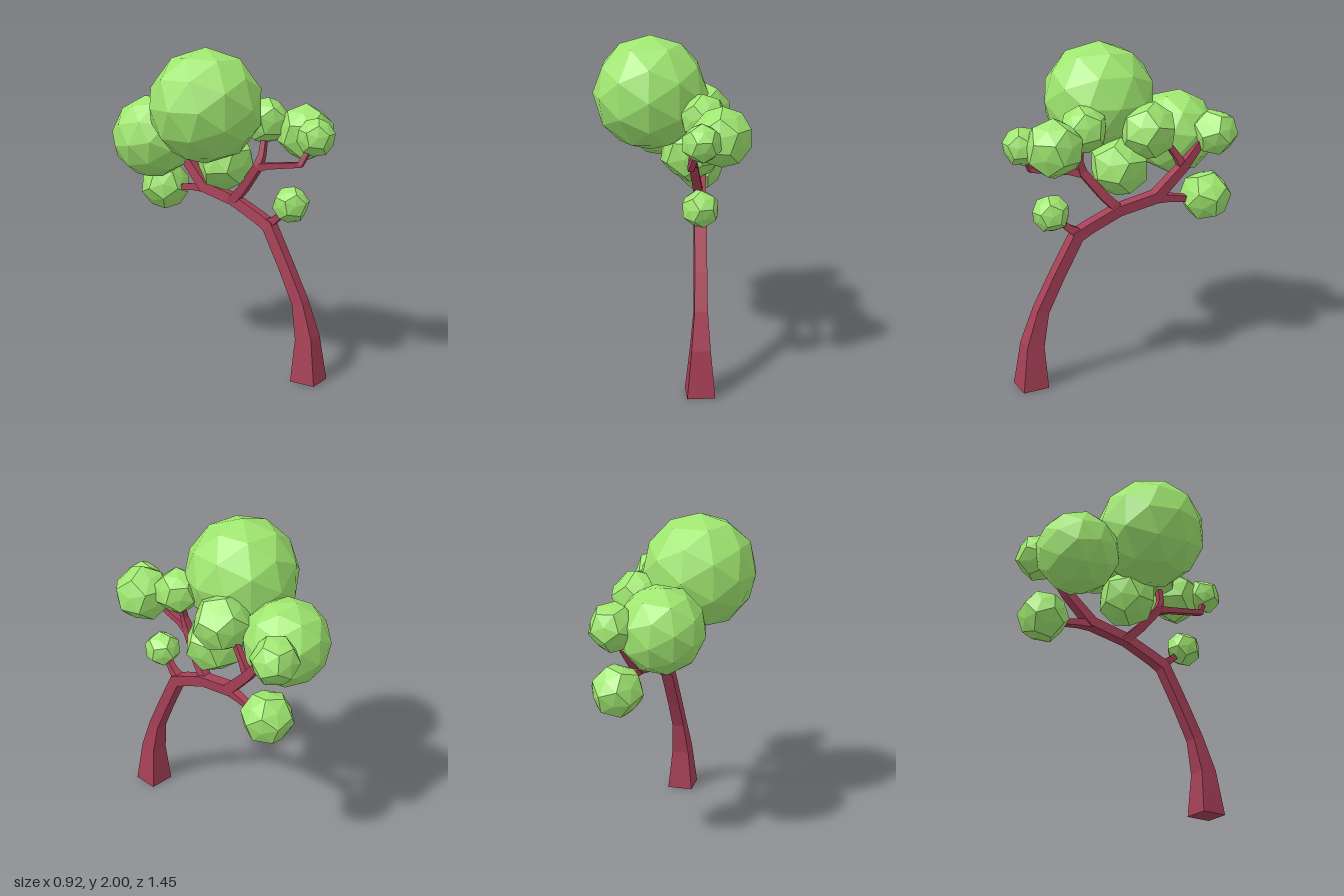
import * as THREE from 'three';
import { ConvexGeometry } from 'three/addons/geometries/ConvexGeometry.js';

const bark = new THREE.MeshStandardMaterial({ color: 0xa64056, flatShading: true });
const leaf = new THREE.MeshStandardMaterial({ color: 0x9fe670, flatShading: true });

// Four-sided limb swept along nodes [x, y, z, half width]
function limb(name, nodes) {
  const pts = nodes.map(n => new THREE.Vector3(n[0], n[1], n[2]));
  const pos = [], index = [];
  pts.forEach((p, i) => {
    const t = new THREE.Vector3();
    if (i > 0) t.add(p.clone().sub(pts[i - 1]).normalize());
    if (i < pts.length - 1) t.add(pts[i + 1].clone().sub(p).normalize());
    t.normalize();
    const u = new THREE.Vector3(1, 0, 0).addScaledVector(t, -t.x).normalize();
    const v = t.clone().cross(u);
    for (let k = 0; k < 4; k++) {
      const a = Math.PI / 4 + k * Math.PI / 2 + 0.08;
      const r = nodes[i][3] * Math.SQRT2;
      const q = p.clone().addScaledVector(u, r * Math.cos(a)).addScaledVector(v, r * Math.sin(a));
      pos.push(q.x, p.y === 0 ? 0 : q.y, q.z);
    }
  });
  for (let i = 0; i < pts.length - 1; i++) {
    for (let k = 0; k < 4; k++) {
      const a = i * 4 + k, b = i * 4 + (k + 1) % 4;
      index.push(a, b, b + 4, a, b + 4, a + 4);
    }
  }
  const e = (pts.length - 1) * 4;
  index.push(0, 3, 2, 0, 2, 1, e, e + 1, e + 2, e, e + 2, e + 3);
  const g = new THREE.BufferGeometry();
  g.setAttribute('position', new THREE.Float32BufferAttribute(pos, 3));
  g.setIndex(index);
  g.computeVertexNormals();
  const mesh = new THREE.Mesh(g, bark);
  mesh.name = name;
  return mesh;
}

function corners(geometry) {
  const p = geometry.attributes.position;
  return Array.from({ length: p.count }, (_, i) => new THREE.Vector3().fromBufferAttribute(p, i));
}

// Small clump: a dodecahedron whose pentagons are raised slightly at the middle
function clumpGeometry() {
  const centres = new THREE.IcosahedronGeometry(0.89, 0).rotateY(Math.PI / 2);
  return new ConvexGeometry([...corners(new THREE.DodecahedronGeometry(1, 0)), ...corners(centres)]);
}

export function createModel() {
  const tree = new THREE.Group();
  tree.name = 'tree';

  // Leaning trunk that becomes the main bough
  tree.add(limb('trunk', [
    [0.166, 0, 0.595, 0.081], [0.166, 0.27, 0.582, 0.055], [0.167, 0.48, 0.525, 0.038],
    [0.166, 0.68, 0.425, 0.036], [0.165, 0.92, 0.295, 0.036], [0.165, 0.96, 0.22, 0.033],
    [0.165, 1.045, 0.03, 0.032], [0.17, 1.1, -0.21, 0.034],
    [0.18, 1.27, -0.38, 0.028], [0.18, 1.43, -0.51, 0.022],
  ]));

  // Side branches and twigs
  const branches = {
    lowFrontTwig: [[0.165, 0.93, 0.28, 0.03], [0.165, 0.97, 0.34, 0.021], [0.16, 1.05, 0.43, 0.016]],
    frontBranch: [[0.16, 1.03, 0.01, 0.028], [0.145, 1.13, 0.11, 0.027], [0.12, 1.29, 0.24, 0.025], [0.13, 1.36, 0.26, 0.018], [0.16, 1.5, 0.26, 0.015]],
    frontTwig: [[0.12, 1.285, 0.255, 0.024], [0.115, 1.3, 0.32, 0.018], [0.105, 1.335, 0.55, 0.017], [0.15, 1.47, 0.61, 0.014]],
    lowBackTwig: [[0.17, 1.095, -0.2, 0.03], [0.175, 1.085, -0.3, 0.022], [0.18, 1.06, -0.46, 0.017]],
    upperTwig: [[0.18, 1.27, -0.38, 0.025], [0.18, 1.34, -0.34, 0.019], [0.18, 1.46, -0.25, 0.015]],
  };
  for (const [name, nodes] of Object.entries(branches)) tree.add(limb(name, nodes));

  // Foliage clumps: x, y, z, radius
  const crown = new THREE.IcosahedronGeometry(1, 1);
  const clump = clumpGeometry();
  const foliage = new THREE.Group();
  foliage.name = 'foliage';
  [
    [-0.13, 1.66, 0.035, 0.342], [-0.06, 1.425, -0.435, 0.258],
    [0.17, 1.46, -0.59, 0.145], [0.17, 1.07, -0.54, 0.16],
    [0.18, 1.515, -0.15, 0.175], [0.105, 1.3, 0, 0.187],
    [0.18, 1.56, 0.25, 0.143], [0.28, 1.495, 0.465, 0.175],
    [0.165, 1.495, 0.615, 0.115], [0.162, 1.075, 0.45, 0.113],
  ].forEach(([x, y, z, r], i) => {
    const mesh = new THREE.Mesh(r > 0.2 ? crown : clump, leaf);
    mesh.name = r > 0.2 ? 'crown' : 'leafClump';
    mesh.position.set(x, y, z);
    mesh.scale.setScalar(r);
    mesh.rotation.set(i * 0.9, i * 1.7, i * 0.5);
    foliage.add(mesh);
  });
  tree.add(foliage);
  return tree;
}
